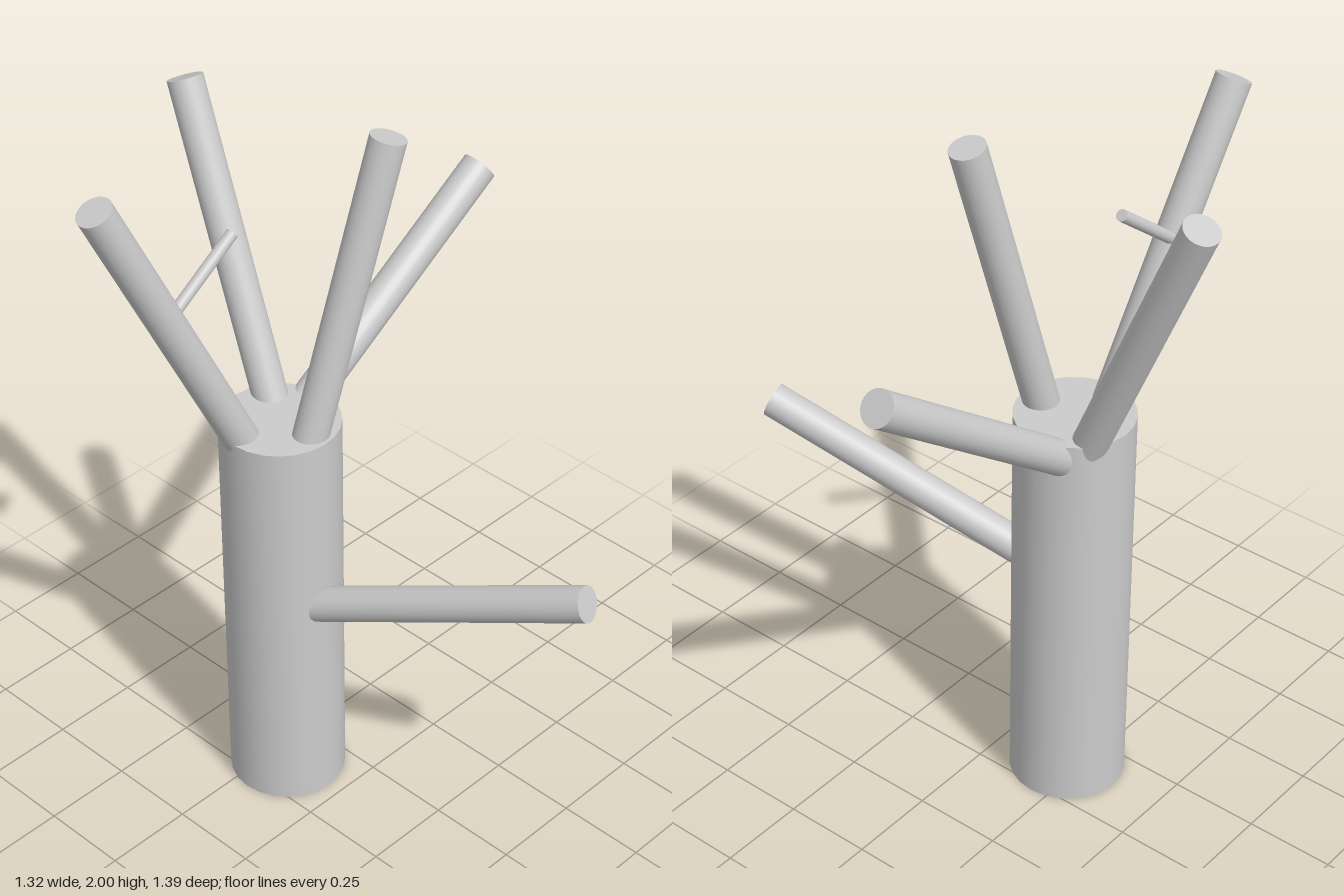
import * as THREE from 'three';

const material = new THREE.MeshStandardMaterial({ color: 0xcccccc });
const UP = new THREE.Vector3(0, 1, 0);

// Closed cylinder running from one point to another
function limb(name, from, to, radius, sides = 24) {
  const a = new THREE.Vector3(...from);
  const b = new THREE.Vector3(...to);
  const dir = b.clone().sub(a);
  const mesh = new THREE.Mesh(new THREE.CylinderGeometry(radius, radius, dir.length(), sides), material);
  mesh.name = name;
  mesh.position.copy(a).add(b).multiplyScalar(0.5);
  mesh.quaternion.setFromUnitVectors(UP, dir.normalize());
  return mesh;
}

export function createModel() {
  const tree = new THREE.Group();
  tree.name = 'bareTree';

  // Trunk
  tree.add(limb('trunk', [-0.136, 0, -0.202], [-0.136, 1.18, -0.202], 0.161));

  // Branches, each rooted a little inside the trunk
  const branches = [
    ['rightBranch', [-0.232, 1.13, -0.226], [-0.62, 1.975, -0.303]],
    ['frontTopBranch', [-0.14, 1.12, -0.105], [0.09, 1.985, -0.035]],
    ['backBranch', [-0.073, 1.13, -0.287], [-0.004, 1.95, -0.653]],
    ['leftBranch', [-0.05, 1.1, -0.25], [0.628, 1.6, -0.213]],
    ['lowFrontBranch', [-0.158, 0.63, -0.11], [0.066, 0.945, 0.675]],
  ];
  for (const [name, from, to] of branches) tree.add(limb(name, from, to, 0.048));

  // Small twig on the right branch
  tree.add(limb('twig', [-0.43, 1.585, -0.283], [-0.215, 1.75, -0.27], 0.016));

  return tree;
}
